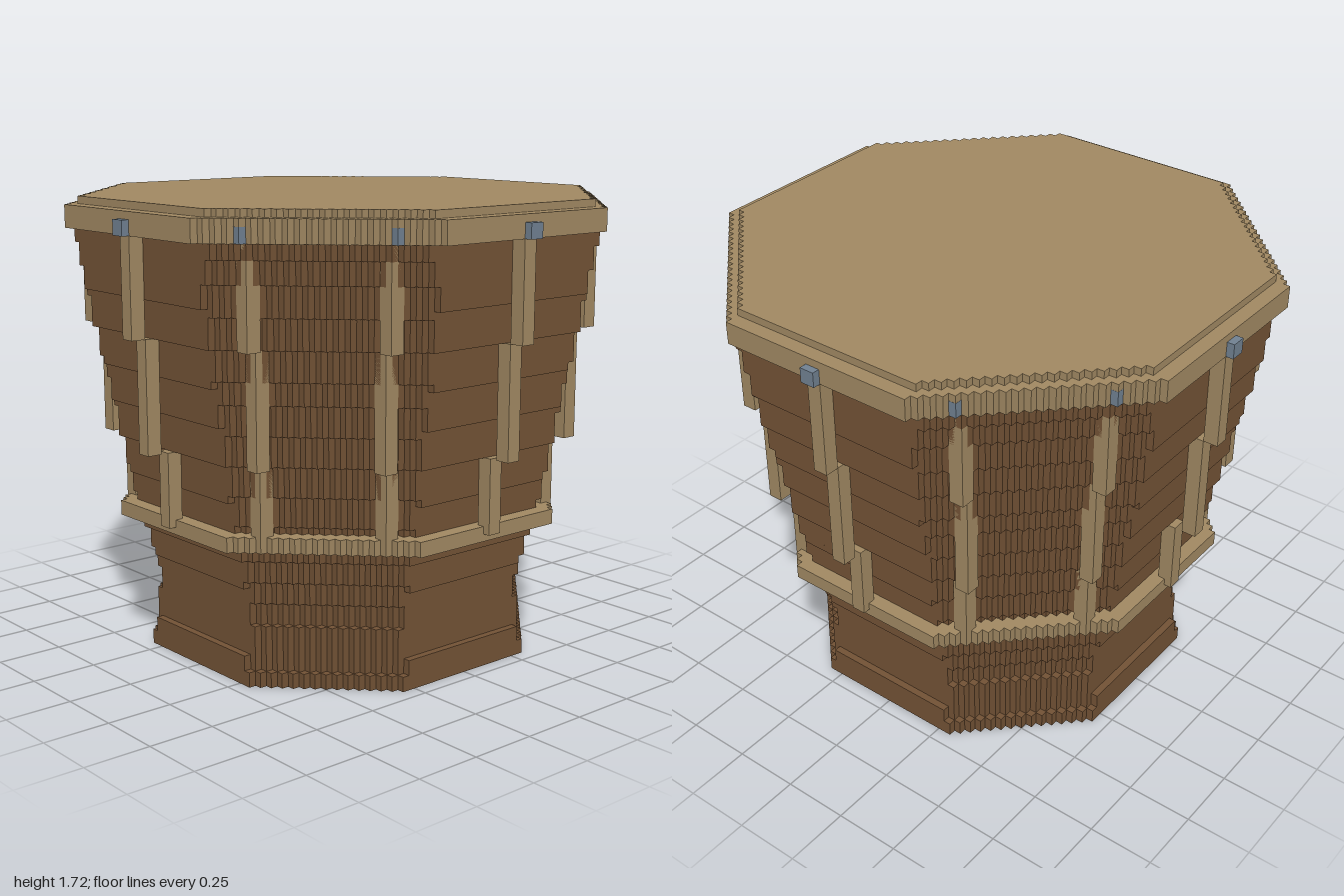
import * as THREE from 'three';

const U = 1 / 36; // one block

const wood = new THREE.MeshStandardMaterial({ color: 0x725235 });
wood.name = 'dark wood';
const tan = new THREE.MeshStandardMaterial({ color: 0xa08862 });
tan.name = 'tan hide';
const metal = new THREE.MeshStandardMaterial({ color: 0x708090 });
metal.name = 'grey metal';

// Octagonal slab with stepped diagonals: r = half width, s = largest |x| + |z|
function slab(name, r, s, y0, y1, material) {
  const c = s - r;
  const quarter = [[c, r]];
  for (let i = 0; i < r - c; i++) {
    quarter.push([c + i, r - i - 1], [c + i + 1, r - i - 1]);
  }
  const points = [];
  let turn = quarter;
  for (let q = 0; q < 4; q++) {
    points.push(...turn.map(([x, y]) => new THREE.Vector2(x * U, y * U)));
    turn = turn.map(([x, y]) => [y, -x]);
  }
  const geometry = new THREE.ExtrudeGeometry(new THREE.Shape(points), {
    depth: (y1 - y0) * U, bevelEnabled: false,
  });
  geometry.rotateX(-Math.PI / 2);
  const mesh = new THREE.Mesh(geometry, material);
  mesh.name = name;
  mesh.position.y = y0 * U;
  return mesh;
}

// Twelve upright posts, two blocks square, set around a circle on the block grid
function postRing(name, radius, y0, y1, material, grow = 0) {
  const group = new THREE.Group();
  group.name = name;
  const w = (2 + grow) * U;
  const geometry = new THREE.BoxGeometry(w, (y1 - y0) * U, w);
  for (let i = 0; i < 12; i++) {
    const a = (i * Math.PI) / 6;
    const snap = (v) => Math.trunc(v + Math.sign(v) * 1e-6) * U;
    const post = new THREE.Mesh(geometry, material);
    post.name = name;
    post.position.set(snap(radius * Math.sin(a)), ((y0 + y1) / 2) * U, snap(radius * Math.cos(a)));
    group.add(post);
  }
  return group;
}

export function createModel() {
  const drum = new THREE.Group();
  drum.name = 'drum';

  // Foot and waist: half width, diagonal sum, bottom, top
  const foot = new THREE.Group();
  foot.name = 'foot';
  for (const [r, s, y0, y1] of [
    [25, 36, 0, 2], [25, 35, 2, 4], [24, 35, 4, 8], [24, 34, 8, 11],
    [24, 35, 11, 13], [25, 35, 13, 14], [25, 36, 14, 17], [26, 37, 17, 19],
  ]) foot.add(slab('footLayer', r, s, y0, y1, wood));
  drum.add(foot);

  // Flaring shell: sides step out every five blocks, diagonals a little faster
  const shell = new THREE.Group();
  shell.name = 'shell';
  const halfWidth = (y) => Math.min(33, 27 + Math.floor((y - 20) / 5));
  const diagonal = (y) => 39 + Math.floor((y - 22) / 3.77);
  let start = 21;
  for (let y = 22; y <= 58; y++) {
    const r = halfWidth(start), s = diagonal(start);
    if (y === 58 || halfWidth(y) !== r || diagonal(y) !== s) {
      shell.add(slab('shellLayer', r, s, start, y, wood));
      start = y;
    }
  }
  drum.add(shell);

  // Lower band, rim and head
  drum.add(slab('lowerBand', 29, 41, 19, 21, tan));
  drum.add(slab('rim', 35, 49, 58, 61, tan));
  drum.add(slab('drumHead', 33, 47, 61, 62, tan));

  // Tension straps in three stepped sections
  drum.add(postRing('lowerStrap', 29, 20, 30, tan));
  drum.add(postRing('middleStrap', 32, 30, 45, tan));
  drum.add(postRing('upperStrap', 34, 45, 58, tan));

  // Pegs at the rim, a hair larger so they show through its corners
  drum.add(postRing('peg', 35, 58, 60, metal, 0.04));

  return drum;
}
